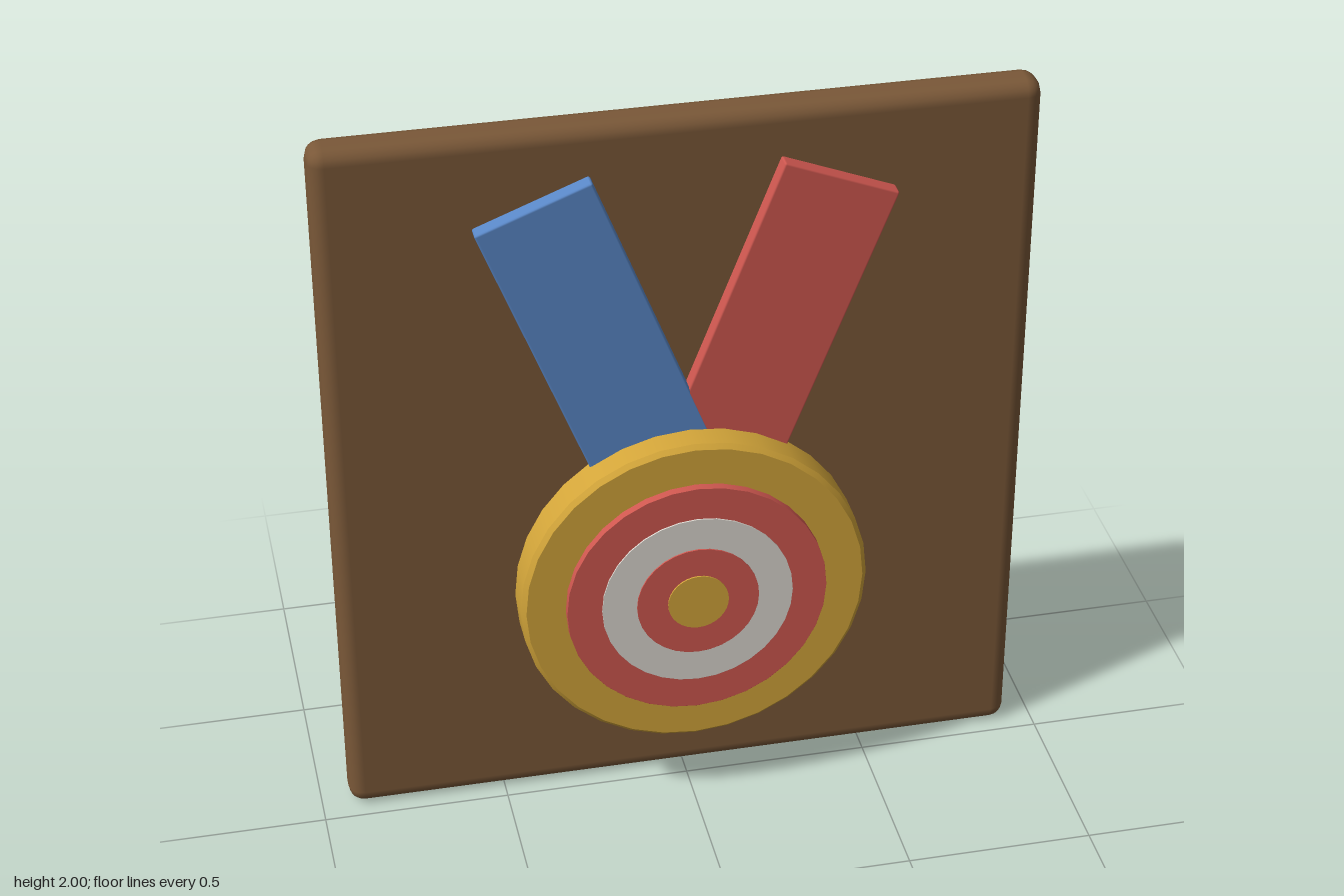
import * as THREE from 'three';
import { RoundedBoxGeometry } from 'three/addons/geometries/RoundedBoxGeometry.js';

const paint = (color) => new THREE.MeshStandardMaterial({ color });
const BROWN = paint(0x7a5838), GOLD = paint(0xd4a63a), RED = paint(0xd05850);
const WHITE = paint(0xdcd8d0), BLUE = paint(0x5a88c8);
const MEDAL_Y = 0.678;

function add(parent, name, geometry, material) {
  const mesh = new THREE.Mesh(geometry, material);
  mesh.name = name;
  parent.add(mesh);
  return mesh;
}

// Disc facing +z between two depths, with an optional bevelled rim
function disc(radius, back, front, bevel = 0) {
  const corners = bevel
    ? [[0, back], [radius - bevel, back], [radius, back + bevel],
       [radius, front - bevel], [radius - bevel, front], [0, front]]
    : [[0, back], [radius, back], [radius, front], [0, front]];
  // Double the inner points so each band keeps a crisp edge
  const parts = [];
  corners.forEach(([r, z], i) => {
    parts.push(new THREE.Vector2(r, z));
    if (i > 0 && i < corners.length - 1) {
      const [nr, nz] = corners[i + 1];
      parts.push(new THREE.Vector2(r + (nr - r) * 0.001, z + (nz - z) * 0.001));
    }
  });
  return new THREE.LatheGeometry(parts, 32).rotateX(Math.PI / 2);
}

export function createModel() {
  const model = new THREE.Group();
  model.name = 'medalPlaque';

  // Wooden backing board
  add(model, 'board', new RoundedBoxGeometry(1.85, 2, 0.11, 2, 0.042), BROWN)
    .position.set(0, 1, -0.095);

  // Two ribbon straps crossing behind the medal
  const tilt = THREE.MathUtils.degToRad(21.3);
  const length = 0.97;
  for (const [name, side, material, lift] of [
    ['leftRibbon', 1, RED, 0], ['rightRibbon', -1, BLUE, 0.0008],
  ]) {
    const strap = add(model, name, new RoundedBoxGeometry(0.318, length, 0.045, 1, 0.006), material);
    strap.rotation.z = -side * tilt;
    strap.position.set(
      side * (0.39 - Math.sin(tilt) * length / 2),
      1.828 - Math.cos(tilt) * length / 2,
      0.011 + lift
    );
  }

  // Medal with stepped concentric target rings
  const medal = new THREE.Group();
  medal.name = 'medal';
  medal.position.y = MEDAL_Y;
  model.add(medal);
  add(medal, 'medalBody', disc(0.463, 0.003, 0.115, 0.012), GOLD);
  add(medal, 'outerRing', disc(0.347, 0.11, 0.138), RED);
  add(medal, 'whiteRing', disc(0.255, 0.11, 0.142), WHITE);
  add(medal, 'innerRing', disc(0.163, 0.11, 0.146), RED);
  add(medal, 'bullseye', disc(0.081, 0.11, 0.15), GOLD);

  return model;
}
